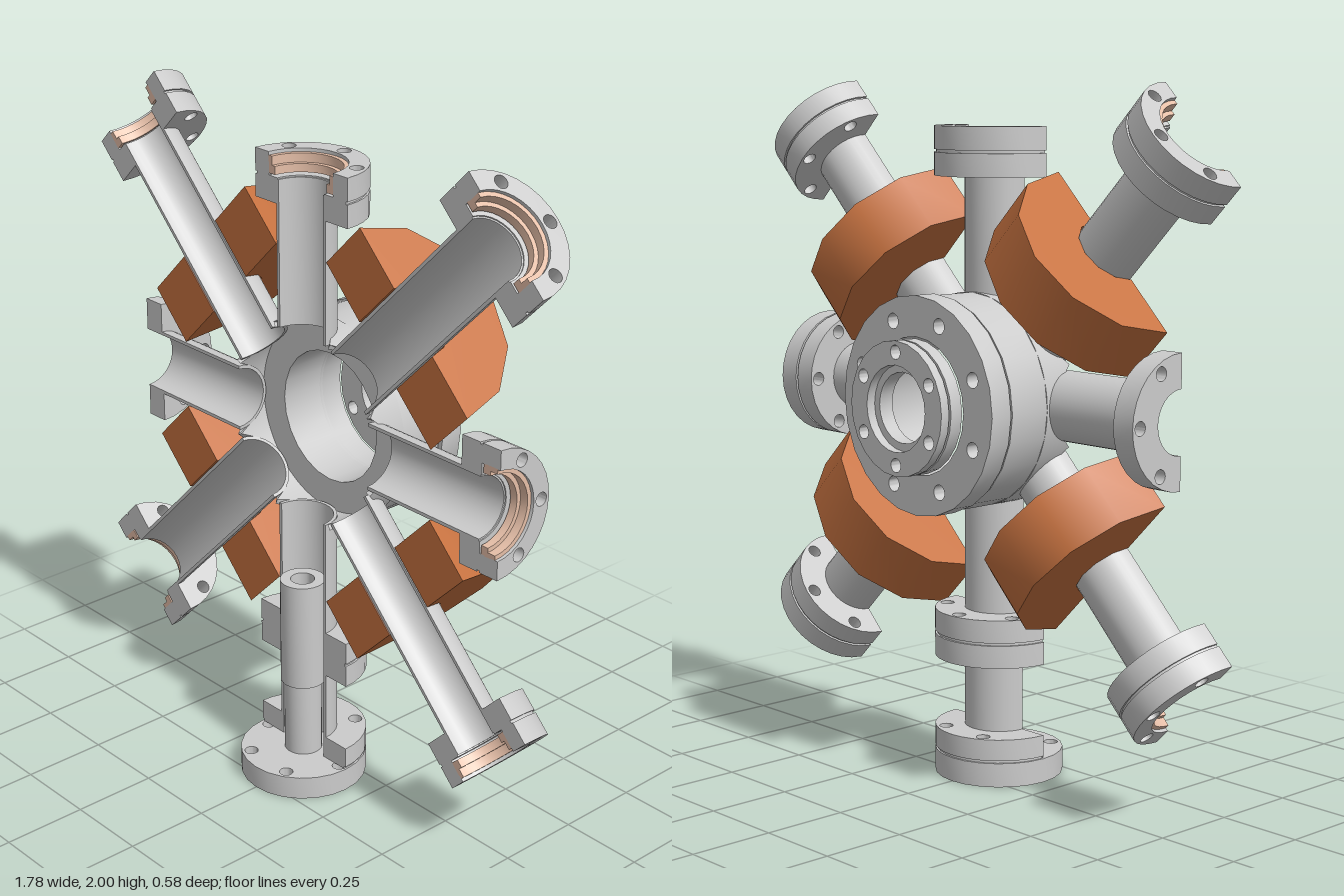
import * as THREE from 'three';
import { toCreasedNormals } from 'three/addons/utils/BufferGeometryUtils.js';

const grey = new THREE.MeshStandardMaterial({ color: 0xcccccc });
const copper = new THREE.MeshStandardMaterial({ color: 0xc87341 });
const gasketMat = new THREE.MeshStandardMaterial({ color: 0xe6bfa8 });

const TUBE_R = 0.1, FLANGE_R = 0.187;
const CUT_Z = 0.105, HUB_Y = 1.11;

// Ring of outer radius R and bore r, halved or whole, pierced by bolt holes
function ring(R, r, from, to, { half = true, bolts = 0, boltR = 0.158, turn = Math.PI / 2, holeR = 0.02, seg = 8 } = {}) {
  const shape = new THREE.Shape();
  if (half) {
    shape.moveTo(R, 0);
    shape.absarc(0, 0, R, 0, Math.PI, false);
    shape.lineTo(-r, 0);
    shape.absarc(0, 0, r, Math.PI, 0, true);
    shape.closePath();
  } else {
    shape.absarc(0, 0, R, 0, Math.PI * 2, false);
    shape.holes.push(new THREE.Path().absarc(0, 0, r, 0, Math.PI * 2, true));
  }
  for (let i = 0; i < bolts; i++) {
    const a = turn + (i / bolts) * Math.PI * 2;
    const x = boltR * Math.cos(a), y = boltR * Math.sin(a);
    if (half && y < holeR * 1.5) continue;
    const hole = new THREE.Path();
    hole.absarc(x, y, holeR, 0, Math.PI * 2, true);
    shape.holes.push(hole);
  }
  const g = new THREE.ExtrudeGeometry(shape, { depth: to - from, bevelEnabled: false, curveSegments: seg });
  g.translate(0, 0, from);
  return toCreasedNormals(g, 0.6);
}

function add(parent, name, geometry, material = grey) {
  const mesh = new THREE.Mesh(geometry, material);
  mesh.name = name;
  parent.add(mesh);
  return mesh;
}

// Same ring, but with its axis along +y and its kept half at -z
const armRing = (...args) => ring(...args).rotateX(-Math.PI / 2);

function tube(arm, from, to) {
  add(arm, 'tube', armRing(TUBE_R, 0.09, from, to));
}

// Two bolted flange discs with a shallow groove between them
function flangePair(arm, d, lined) {
  const bore = lined ? 0.13 : TUBE_R - 0.005;
  add(arm, 'innerFlange', armRing(FLANGE_R, 0.095, d, d + 0.066, { bolts: 6 }));
  add(arm, 'flangeGroove', armRing(0.181, 0.095, d + 0.066, d + 0.074, { bolts: 6 }));
  add(arm, 'outerFlange', armRing(FLANGE_R, bore, d + 0.074, d + 0.14, { bolts: 6 }));
  if (lined) {
    add(arm, 'gasketLip', armRing(0.132, 0.104, d + 0.08, d + 0.104), gasketMat);
    add(arm, 'gasketRim', armRing(0.132, 0.117, d + 0.104, d + 0.13), gasketMat);
  }
}

function makeArm(name, angle) {
  const arm = new THREE.Group();
  arm.name = name;
  arm.rotation.z = angle;
  return arm;
}

// Chamber wall whose upper edge is scooped out where each tube enters
function chamberWall() {
  const pts = [[0.288, -0.108], [0.305, -0.108], [0.305, 0], [0.288, 0], [0.288, -0.108]];
  const g = new THREE.LatheGeometry(pts.map(p => new THREE.Vector2(...p)), 96).rotateX(Math.PI / 2);
  const pos = g.attributes.position, step = Math.PI / 4;
  for (let i = 0; i < pos.count; i++) {
    if (pos.getZ(i) < -0.05) continue;
    const x = pos.getX(i), y = pos.getY(i), a = Math.atan2(y, x);
    const s = Math.hypot(x, y) * Math.sin(a - Math.round(a / step) * step);
    pos.setZ(i, -Math.sqrt(Math.max(0, TUBE_R * TUBE_R - s * s)));
  }
  return toCreasedNormals(g, 0.6);
}

function makeHub() {
  const hub = new THREE.Group();
  hub.name = 'hub';
  const big = { half: false, bolts: 8, boltR: 0.25, turn: Math.PI / 8, holeR: 0.022, seg: 12 };
  add(hub, 'chamberWall', chamberWall());
  add(hub, 'chamberBody', ring(0.305, 0.195, -0.24, -0.105, { half: false, seg: 12 }));
  add(hub, 'hubGroove', ring(0.296, 0.195, -0.25, -0.24, { ...big }));
  add(hub, 'hubFlange', ring(0.31, 0.195, -0.32, -0.25, big));
  const small = { half: false, bolts: 6, boltR: 0.158, seg: 12 };
  add(hub, 'portFlange', ring(0.19, 0.1, -0.36, -0.32, small));
  add(hub, 'portGroove', ring(0.182, 0.1, -0.367, -0.36, small));
  add(hub, 'portFace', ring(0.19, 0.122, -0.395, -0.367, small));
  return hub;
}

export function createModel() {
  const model = new THREE.Group();
  model.name = 'sectionedVacuumChamber';
  const core = new THREE.Group();
  core.name = 'chamber';
  core.position.set(0, HUB_Y, CUT_Z);
  model.add(core);
  core.add(makeHub());

  // Four diagonal arms, each inside a copper coil
  for (let i = 0; i < 4; i++) {
    const arm = makeArm('diagonalArm', Math.PI / 4 + (i * Math.PI) / 2);
    tube(arm, 0.272, 1.005);
    flangePair(arm, 0.935, true);
    add(arm, 'coil', armRing(0.291, 0.104, 0.437, 0.623, { seg: 3 }), copper);
    core.add(arm);
  }

  // Top arm and left-side arm
  for (const [name, angle] of [['topArm', 0], ['leftArm', -Math.PI / 2]]) {
    const arm = makeArm(name, angle);
    tube(arm, 0.272, 0.7);
    flangePair(arm, 0.63, true);
    core.add(arm);
  }

  // Right-side arm ends in a single flange
  const rightArm = makeArm('rightArm', Math.PI / 2);
  tube(rightArm, 0.272, 0.7);
  add(rightArm, 'endFlange', armRing(FLANGE_R, 0.095, 0.63, 0.7, { bolts: 6 }));
  core.add(rightArm);

  // Lower arm: two stacked tube lengths, mirrored so the kept half stays behind
  const lowerArm = makeArm('lowerArm', Math.PI);
  tube(lowerArm, 0.272, 1.04);
  flangePair(lowerArm, 0.62, false);
  add(lowerArm, 'lowerFlange', armRing(FLANGE_R, 0.095, 0.97, 1.032, { bolts: 6, turn: 0 }));
  add(lowerArm, 'lowerGroove', armRing(0.181, 0.095, 1.032, 1.04, { bolts: 6, turn: 0 }));
  core.add(lowerArm);

  // Whole base flange with the feed pipe standing on it
  const base = new THREE.Group();
  base.name = 'base';
  base.position.z = CUT_Z;
  const whole = { half: false, seg: 12 };
  add(base, 'baseFlange', armRing(FLANGE_R, 0.045, 0, 0.07, { ...whole, bolts: 6, turn: 0 }));
  add(base, 'feedPipe', armRing(0.056, 0.035, 0.065, 0.31, whole));
  add(base, 'feedSleeve', armRing(0.066, 0.035, 0.3, 0.63, whole));
  model.add(base);

  return model;
}
